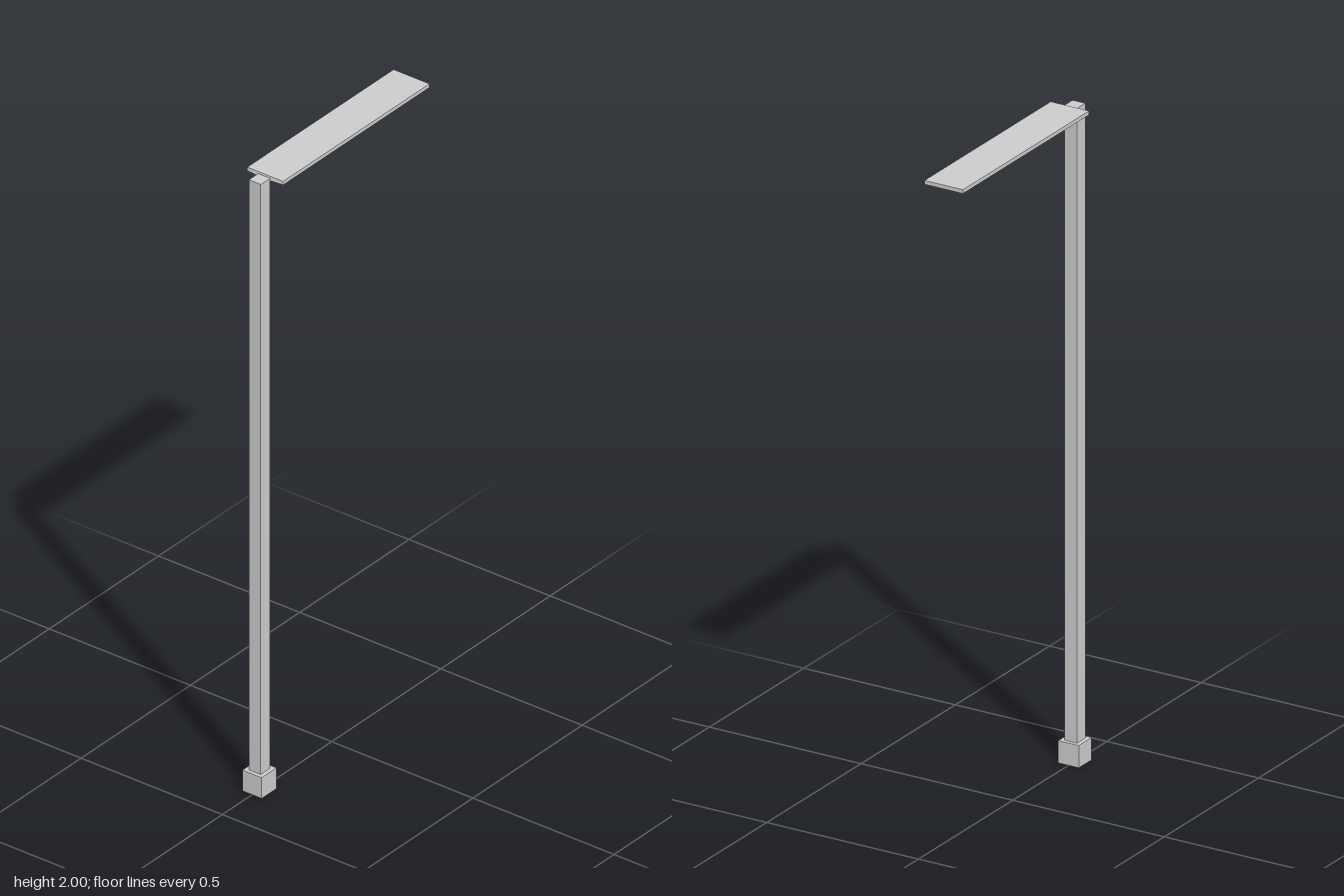
import * as THREE from 'three';

export function createModel() {
  const group = new THREE.Group();
  const material = new THREE.MeshStandardMaterial({ color: 0xcccccc, flatShading: true });

  function addPart(name, geometry, x, y, z) {
    const mesh = new THREE.Mesh(geometry, material);
    mesh.name = name;
    mesh.position.set(x, y, z);
    group.add(mesh);
  }

  const poleZ = 0.33;

  // Square foot and slender square pole
  addPart('base', new THREE.BoxGeometry(0.068, 0.068, 0.068), 0, 0.034, poleZ);
  addPart('pole', new THREE.BoxGeometry(0.042, 1.929, 0.043), 0, 0.068 + 1.929 / 2, poleZ);

  // Long flat head; the lower edge of its pole end bulges slightly outward
  const width = 0.127, thickness = 0.012, length = 0.67;
  const head = new THREE.BoxGeometry(width, thickness, length, 6, 1, 1);
  const p = head.attributes.position;
  for (let i = 0; i < p.count; i++) {
    if (p.getY(i) < 0 && p.getZ(i) > 0) {
      const t = p.getX(i) / (width / 2);
      p.setZ(i, p.getZ(i) + 0.004 * (1 - t * t));
    }
  }
  head.computeVertexNormals();
  addPart('lampHead', head, 0, 2 - thickness / 2, -0.031);

  return group;
}
